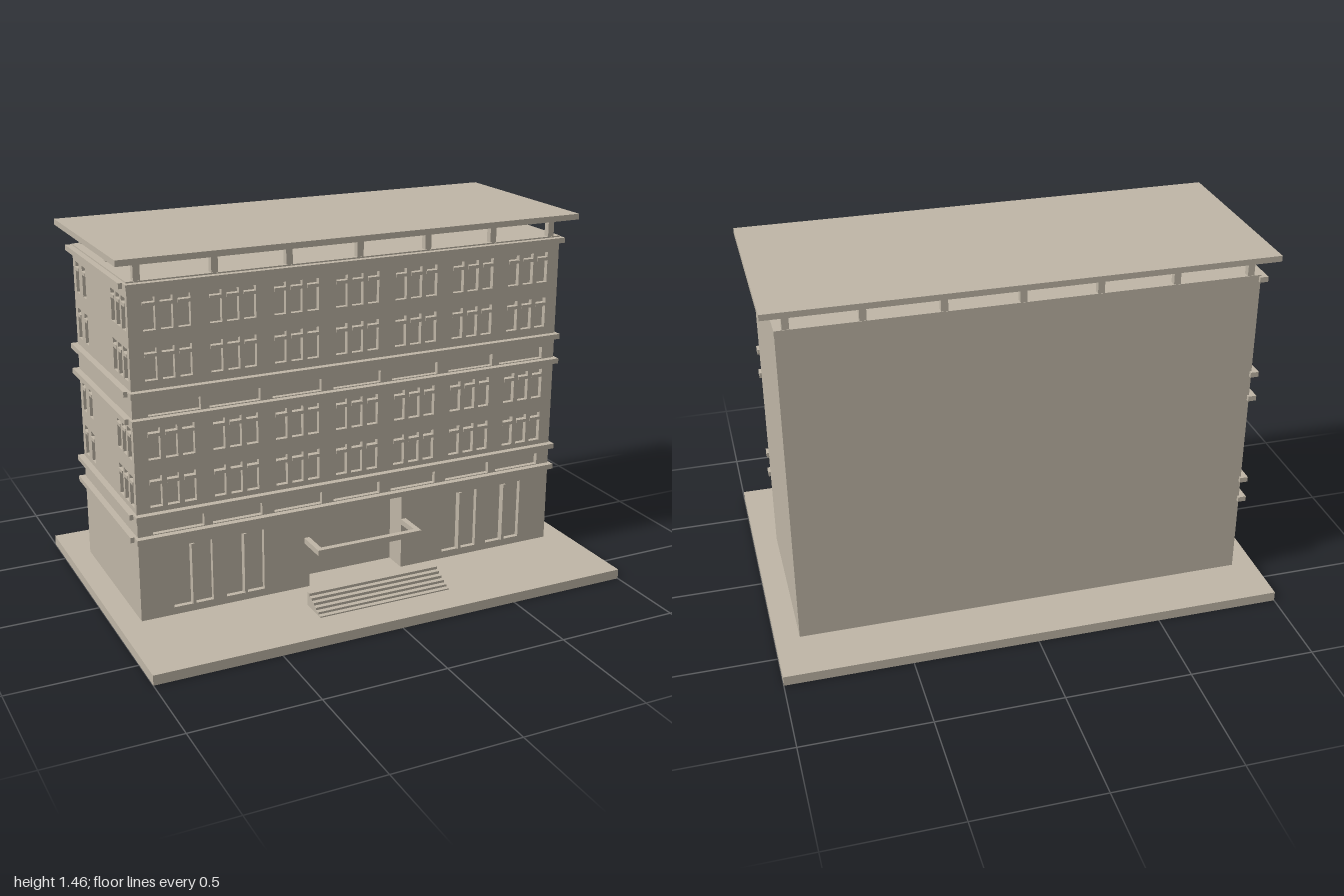
import * as THREE from 'three';

const stone = new THREE.MeshStandardMaterial({ color: 0xbfb6a6 });
stone.name = 'stone';

// Box given by its minimum and maximum on each axis
function box(parent, name, x0, x1, y0, y1, z0, z1) {
  const mesh = new THREE.Mesh(new THREE.BoxGeometry(x1 - x0, y1 - y0, z1 - z0), stone);
  mesh.position.set((x0 + x1) / 2, (y0 + y1) / 2, (z0 + z1) / 2);
  mesh.name = name;
  parent.add(mesh);
  return mesh;
}

function group(parent, name) {
  const g = new THREE.Group();
  g.name = name;
  parent.add(g);
  return g;
}

// Wall extruded from an outline, with rectangular openings [u0, u1, v0, v1]
function wall(parent, name, outline, openings, depth) {
  const shape = new THREE.Shape(outline.map(([u, v]) => new THREE.Vector2(u, v)));
  for (const [u0, u1, v0, v1] of openings) {
    shape.holes.push(new THREE.Path([[u0, v0], [u0, v1], [u1, v1], [u1, v0]]
      .map(([u, v]) => new THREE.Vector2(u, v))));
  }
  const mesh = new THREE.Mesh(new THREE.ExtrudeGeometry(shape, { depth, bevelEnabled: false }), stone);
  mesh.name = name;
  parent.add(mesh);
  return mesh;
}

export function createModel() {
  const model = new THREE.Group();
  model.name = 'building';

  const L = -0.908, R = 0.905, BACK = -0.438, FRONT = 0.254;
  const FLOOR = 0.04, TOP = 1.34;
  const RECESS = 0.02, FOYER = 0.155;
  const rows = [[0.497, 0.62], [0.685, 0.808], [0.99, 1.112], [1.177, 1.3]];

  box(model, 'base', -1, 1, 0, FLOOR, -0.66, 0.66);
  box(model, 'core', L + RECESS, R, FLOOR, TOP, BACK, FOYER);
  box(model, 'topSlab', L - 0.001, R + 0.001, TOP, 1.363, BACK - 0.001, FRONT + 0.001);

  // Front openings: window triples, spandrel panels and ground floor windows
  const windows = [];
  const panels = [];
  for (let i = -3; i <= 3; i++) {
    for (const k of [-1, 0, 1]) {
      const x = i * 0.254 + k * 0.067;
      for (const [y0, y1] of rows) windows.push([x - 0.024, x + 0.024, y0, y1]);
    }
    const px = Math.abs(i) === 3 ? Math.sign(i) * 0.746 : i * 0.254;
    for (const y of [0.388, 0.855]) panels.push([px - 0.102, px + 0.102, y, y + 0.048]);
  }
  const shopWindows = [-0.695, -0.481, 0.478, 0.69].map(x => [x - 0.08, x + 0.08, 0.07, 0.324]);

  // Front wall in two layers, both notched for the entrance
  const frontOutline = left => [[left, FLOOR], [-0.208, FLOOR], [-0.208, 0.362], [0.205, 0.362],
    [0.205, FLOOR], [R, FLOOR], [R, TOP], [left, TOP]];
  wall(model, 'frontInnerWall', frontOutline(L + RECESS), [], FRONT - RECESS - FOYER).position.z = FOYER;
  wall(model, 'frontWall', frontOutline(L), [...windows, ...panels, ...shopWindows], RECESS)
    .position.z = FRONT - RECESS;

  // Window bars on the front
  const frontBars = group(model, 'frontWindowBars');
  for (const [x0, x1, , y1] of windows) {
    box(frontBars, 'transom', x0, x1, y1 - 0.033, y1 - 0.02, FRONT - RECESS, FRONT + 0.003);
  }
  for (const [x0, x1, y0, y1] of shopWindows) {
    const x = (x0 + x1) / 2;
    box(frontBars, 'mullion', x - 0.006, x + 0.006, y0, y1, FRONT - RECESS, FRONT + 0.008);
  }

  // Side wall with windows, turned to face -x so that u runs along z
  const sideWindows = [];
  for (const z of [-0.382, -0.292, 0.082, 0.145, 0.208]) {
    for (const [y0, y1] of rows) sideWindows.push([z - 0.022, z + 0.022, y0, y1]);
  }
  const zEnd = FRONT - RECESS;
  const side = wall(model, 'sideWall',
    [[BACK, FLOOR], [zEnd, FLOOR], [zEnd, TOP], [BACK, TOP]], sideWindows, RECESS);
  side.rotation.y = -Math.PI / 2;
  side.position.x = L + RECESS;
  const sideBars = group(model, 'sideWindowBars');
  for (const [z0, z1, , y1] of sideWindows) {
    box(sideBars, 'transom', L - 0.003, L + RECESS, y1 - 0.033, y1 - 0.02, z0, z1);
  }

  // Ledges along the front and the windowed side
  const ledges = group(model, 'ledges');
  for (const y of [0.364, 0.456, 0.831, 0.936, 1.337]) {
    box(ledges, 'frontLedge', -0.918, 0.914, y, y + 0.021, 0.242, 0.28);
    box(ledges, 'sideLedge', -0.933, -0.9, y, y + 0.021, -0.451, 0.242);
  }

  // Overhanging roof on short posts around the edge
  box(model, 'roof', -0.96, 0.957, 1.433, 1.456, -0.492, 0.306);
  const posts = group(model, 'roofPosts');
  [-0.868, -0.575, -0.281, 0.011, 0.302, 0.594, 0.864].forEach((x, i) => {
    const zs = i === 0 || i === 6 ? [0.24, -0.09, -0.424] : [0.24, -0.424];
    for (const z of zs) box(posts, 'post', x - 0.013, x + 0.013, 1.363, 1.433, z - 0.013, z + 0.013);
  });

  // Open canopy frame over the entrance
  const canopy = group(model, 'canopy');
  box(canopy, 'canopyFront', -0.229, 0.225, 0.231, 0.254, 0.363, 0.387);
  box(canopy, 'canopyRightArm', -0.229, -0.207, 0.231, 0.254, FRONT, 0.363);
  box(canopy, 'canopyLeftArm', 0.203, 0.225, 0.231, 0.254, FRONT, 0.363);

  // Steps in front of the entrance
  const steps = group(model, 'steps');
  [0.097, 0.086, 0.075, 0.064, 0.054, 0.045].forEach((y, i) => {
    const z = 0.4 + i * 0.02;
    box(steps, 'step', -0.283, 0.281, FLOOR, y, z, z + 0.02);
  });

  return model;
}
